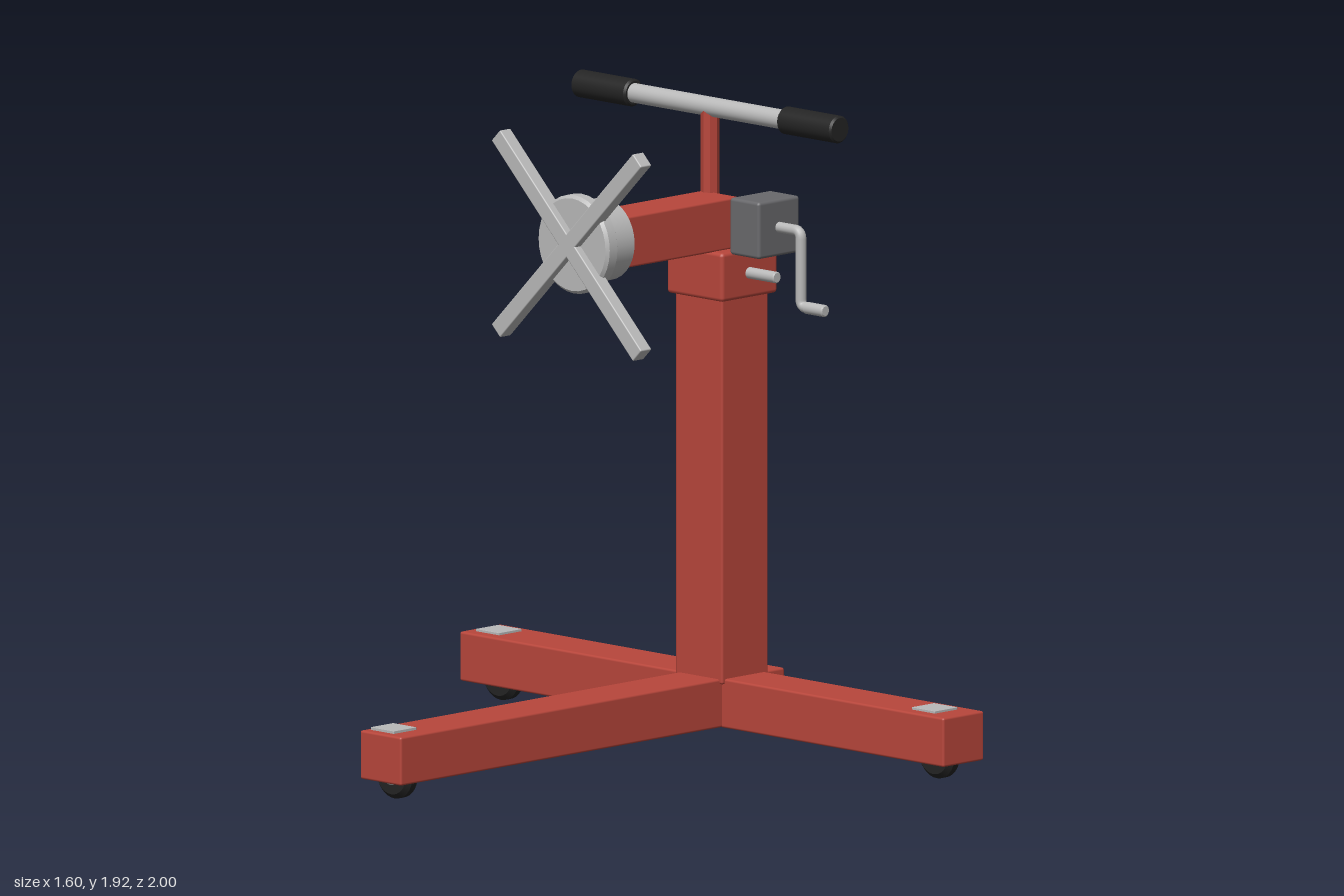
import * as THREE from 'three';
import { RoundedBoxGeometry } from 'three/addons/geometries/RoundedBoxGeometry.js';

const paint = (name, color) => Object.assign(new THREE.MeshStandardMaterial({ color }), { name });

export function createModel() {
  const root = new THREE.Group();
  root.name = 'engineStand';
  const red = paint('red paint', 0xb8463b);
  const steel = paint('light steel', 0xb9b9b9);
  const iron = paint('dark grey iron', 0x69696c);
  const rubber = paint('black rubber', 0x242424);

  const add = (name, geometry, material, x, y, z, parent = root) => {
    const mesh = new THREE.Mesh(geometry, material);
    mesh.name = name;
    mesh.position.set(x, y, z);
    parent.add(mesh);
    return mesh;
  };
  // Box given by its min/max limits, with slightly eased edges
  const box = (name, mat, [x0, x1], [y0, y1], [z0, z1], r = 0.007) =>
    add(name, new RoundedBoxGeometry(x1 - x0, y1 - y0, z1 - z0, 2, r), mat,
      (x0 + x1) / 2, (y0 + y1) / 2, (z0 + z1) / 2);
  // Solid of revolution with a small chamfer, laid along x or z
  const rod = (name, mat, axis, r, len, x, y, z, bevel = 0.006, parent = root) => {
    const h = len / 2;
    const profile = [[0, -h], [r - bevel, -h], [r - bevel, -h], [r, -h + bevel], [r, -h + bevel],
      [r, h - bevel], [r, h - bevel], [r - bevel, h], [r - bevel, h], [0, h]];
    const g = new THREE.LatheGeometry(profile.map(p => new THREE.Vector2(...p)), 32);
    if (axis === 'x') g.rotateZ(-Math.PI / 2);
    if (axis === 'z') g.rotateX(Math.PI / 2);
    return add(name, g, mat, x, y, z, parent);
  };

  // Base beams and column
  box('longBaseBeam', red, [-0.8, 0.8], [0.055, 0.2], [-0.085, 0.085]);
  box('crossBaseBeam', red, [0.538, 0.708], [0.054, 0.201], [-1, 1]);
  box('column', red, [0.527, 0.72], [0.185, 1.35], [-0.097, 0.097]);
  box('columnCollar', red, [0.508, 0.741], [1.33, 1.476], [-0.116, 0.116], 0.012);
  box('columnPlate', steel, [0.717, 0.726], [0.7, 0.905], [-0.064, 0.064], 0.001);

  // Casters and the plates above them
  for (const [x, z] of [[-0.73, 0], [0.622, 0.9], [0.622, -0.9]]) {
    const caster = new THREE.Group();
    caster.name = 'caster';
    caster.position.set(x, 0.074, z);
    root.add(caster);
    rod('casterWheel', rubber, 'x', 0.074, 0.05, 0, 0, 0, 0.014, caster);
    rod('casterHub', steel, 'x', 0.032, 0.066, 0, 0, 0, 0.005, caster);
    const plateX = x < 0 ? x + 0.005 : x;
    box('footPlate', steel, [plateX - 0.047, plateX + 0.047], [0.199, 0.208], [z - 0.068, z + 0.028], 0.001);
  }

  // Horizontal arm and rotating head
  box('arm', red, [0.13, 0.62], [1.474, 1.627], [-0.075, 0.075]);
  rod('headDrum', steel, 'x', 0.122, 0.1, 0.097, 1.555, 0, 0.01);
  rod('headFlange', steel, 'x', 0.147, 0.05, 0.024, 1.555, 0, 0.009);
  for (const side of [1, -1]) {
    const bar = add('mountingBar', new RoundedBoxGeometry(0.045, 0.826, 0.05, 2, 0.004), steel, -0.003, 1.555, 0);
    bar.rotation.x = side * Math.PI / 4;
  }

  // Gearbox, crank and locking pin
  box('gearbox', iron, [0.538, 0.709], [1.47, 1.64], [0.115, 0.238], 0.01);
  const p = (y, z) => new THREE.Vector3(0, y, z);
  const path = new THREE.CurvePath();
  path.add(new THREE.LineCurve3(p(1.557, 0.22), p(1.557, 0.305)));
  path.add(new THREE.QuadraticBezierCurve3(p(1.557, 0.305), p(1.557, 0.328), p(1.534, 0.328)));
  path.add(new THREE.LineCurve3(p(1.534, 0.328), p(1.354, 0.328)));
  path.add(new THREE.QuadraticBezierCurve3(p(1.354, 0.328), p(1.331, 0.328), p(1.331, 0.351)));
  path.add(new THREE.LineCurve3(p(1.331, 0.351), p(1.331, 0.42)));
  add('crank', new THREE.TubeGeometry(path, 80, 0.016, 14), steel, 0.622, 0, 0);
  rod('crankGrip', steel, 'z', 0.018, 0.08, 0.622, 1.331, 0.39, 0.004);
  rod('lockingPin', steel, 'z', 0.017, 0.13, 0.622, 1.405, 0.165, 0.003);

  // Upright post with the push handle
  const postGeo = new THREE.CylinderGeometry(0.028, 0.028, 0.4, 8).toNonIndexed();
  postGeo.computeVertexNormals();
  add('handlePost', postGeo, red, 0.622, 1.67, -0.047);
  rod('handleBar', steel, 'z', 0.029, 0.9, 0.622, 1.88, -0.048, 0.002);
  for (const side of [1, -1]) {
    rod('handleGrip', rubber, 'z', 0.041, 0.225, 0.622, 1.88, -0.048 + side * 0.425, 0.006);
  }
  return root;
}
